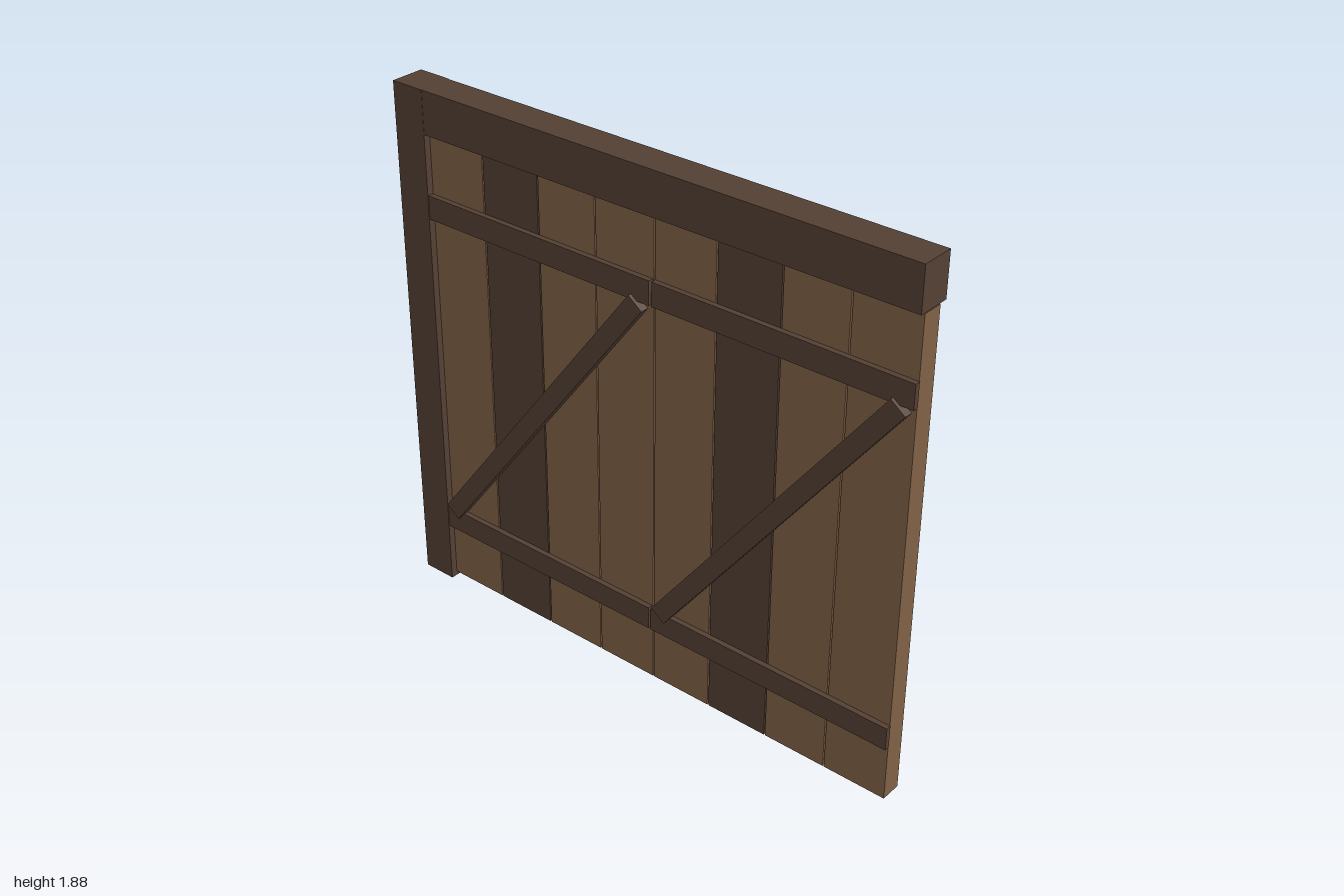
import * as THREE from 'three';

export function createModel() {
  const group = new THREE.Group();
  group.name = 'plankGate';

  const plankWood = new THREE.MeshStandardMaterial({ color: 0x7f6046 });
  plankWood.name = 'light brown wood';
  const darkWood = new THREE.MeshStandardMaterial({ color: 0x544034 });
  darkWood.name = 'dark brown wood';

  // Box given by its minimum and maximum on each axis
  function addBox(name, material, [x0, x1], [y0, y1], [z0, z1]) {
    const mesh = new THREE.Mesh(new THREE.BoxGeometry(x1 - x0, y1 - y0, z1 - z0), material);
    mesh.position.set((x0 + x1) / 2, (y0 + y1) / 2, (z0 + z1) / 2);
    mesh.name = name;
    group.add(mesh);
    return mesh;
  }

  // Frame: side post and top beam
  addBox('sidePost', darkWood, [-1, -0.873], [0, 1.876], [-0.066, 0.057]);
  addBox('topBeam', darkWood, [-0.873, 1], [1.725, 1.876], [-0.064, 0.056]);

  // Eight vertical planks with thin gaps, two of them dark
  const first = -0.873, pitch = 0.2342, gap = 0.005;
  for (let i = 0; i < 8; i++) {
    const x = first + i * pitch;
    const material = i === 1 || i === 5 ? darkWood : plankWood;
    addBox('plank' + (i + 1), material, [x + gap / 2, x + pitch - gap / 2], [0.018, 1.72], [-0.04, 0.035]);
  }

  // Two panels, each with a lower rail, an upper rail and a diagonal brace
  const panels = [
    { rail: [-0.873, 0.057], from: [-0.838, 0.308], to: [0.0125, 1.428] },
    { rail: [0.067, 1], from: [0.105, 0.308], to: [0.957, 1.428] },
  ];
  for (const { rail, from, to } of panels) {
    addBox('lowerRail', darkWood, rail, [0.227, 0.31], [0.035, 0.054]);
    addBox('upperRail', darkWood, rail, [1.43, 1.514], [0.035, 0.054]);

    const dx = to[0] - from[0], dy = to[1] - from[1];
    const brace = new THREE.Mesh(new THREE.BoxGeometry(Math.hypot(dx, dy), 0.065, 0.031), darkWood);
    brace.position.set((from[0] + to[0]) / 2, (from[1] + to[1]) / 2, 0.0505);
    brace.rotation.z = Math.atan2(dy, dx);
    brace.name = 'diagonalBrace';
    group.add(brace);
  }

  return group;
}
